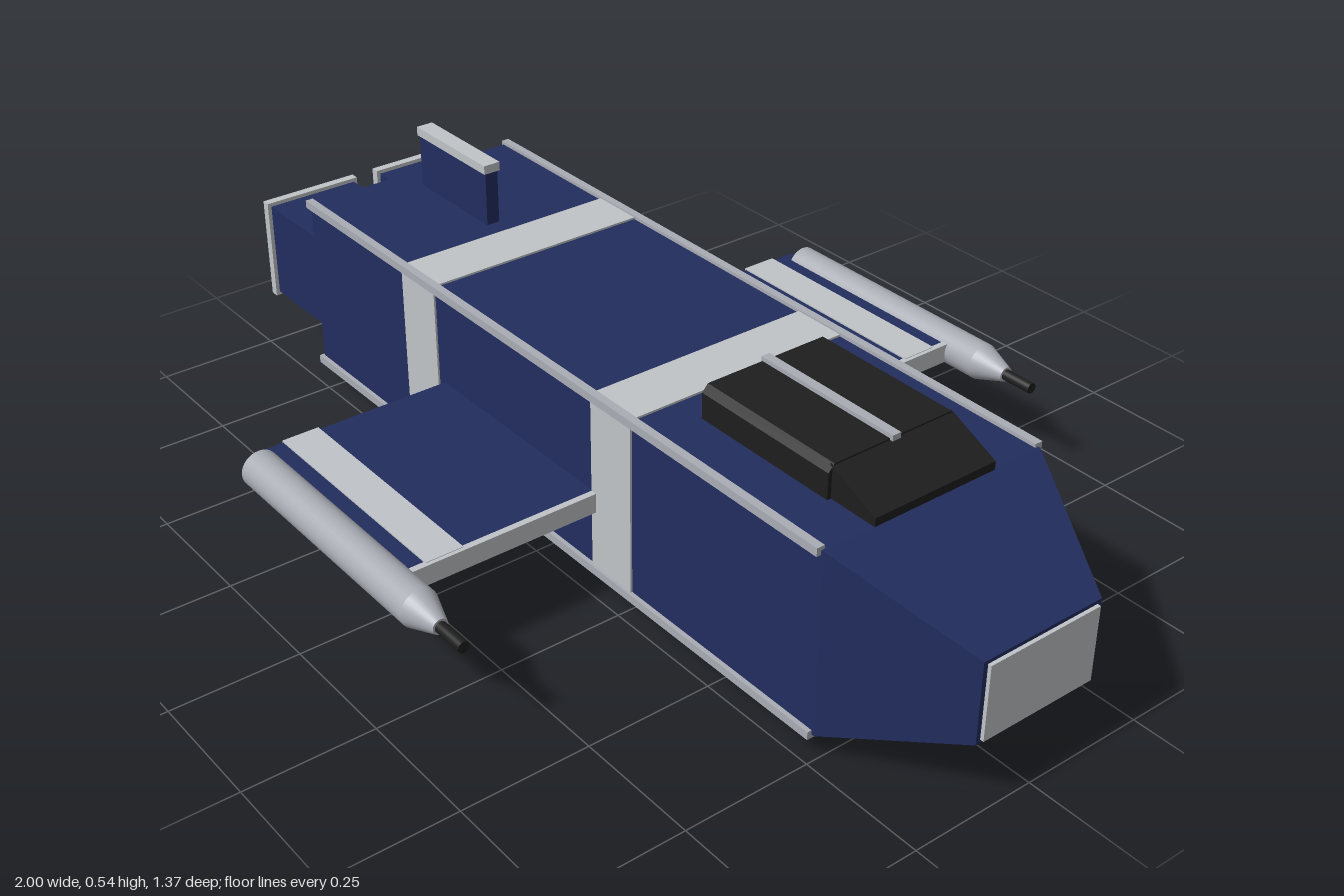
import * as THREE from 'three';

const mat = (name, color) => {
  const m = new THREE.MeshStandardMaterial({ color });
  m.name = name;
  return m;
};

export function createModel() {
  const navy = mat('navy hull', 0x222d5e);
  const silver = mat('silver trim', 0xc0c4c8);
  const grey = mat('grey metal', 0xa9acb4);
  const black = mat('black', 0x1e1e1e);
  const glow = mat('engine glow', 0x64a0b8);
  const ship = new THREE.Group();
  ship.name = 'spaceship';

  const add = (name, geo, material) => {
    const mesh = new THREE.Mesh(geo, material);
    mesh.name = name;
    ship.add(mesh);
    return mesh;
  };
  // Box given by its limits on each axis
  const box = (name, material, [x0, x1], [y0, y1], [z0, z1]) => {
    const g = new THREE.BoxGeometry(x1 - x0, y1 - y0, z1 - z0);
    g.translate((x0 + x1) / 2, (y0 + y1) / 2, (z0 + z1) / 2);
    return add(name, g, material);
  };
  // Box whose front (+x) end has its own height and half width
  const taper = (name, material, [x0, x1], back, front) => {
    const g = new THREE.BoxGeometry(1, 1, 1).toNonIndexed();
    const p = g.attributes.position;
    for (let i = 0; i < p.count; i++) {
      const end = p.getX(i) > 0 ? front : back;
      p.setXYZ(i, p.getX(i) > 0 ? x1 : x0,
        p.getY(i) > 0 ? end.y[1] : end.y[0], Math.sign(p.getZ(i)) * end.z);
    }
    g.computeVertexNormals();
    return add(name, g, material);
  };
  // Cylinder along x; r0 at x0, r1 at x1
  const rod = (name, material, [x0, x1], r0, r1, y, z) => {
    const g = new THREE.CylinderGeometry(r1, r0, x1 - x0, 32);
    g.rotateZ(-Math.PI / 2);
    g.translate((x0 + x1) / 2, y, z);
    return add(name, g, material);
  };

  // Hull and nose
  box('hull', navy, [-0.78, 0.75], [0.052, 0.412], [-0.238, 0.238]);
  taper('nose', navy, [0.75, 0.993], { y: [0.052, 0.412], z: 0.238 }, { y: [0.14, 0.3], z: 0.13 });
  box('nosePlate', silver, [0.992, 1], [0.147, 0.293], [-0.121, 0.121]);

  // Bands round the hull
  for (const x of [-0.435, 0.165])
    box('hullBand', silver, [x, x + 0.111], [0.048, 0.416], [-0.242, 0.242]);

  // Rails along the four long edges
  for (const s of [-1, 1])
    for (const y of [0.053, 0.411]) {
      const z = s * 0.239;
      box('edgeRail', grey, [-0.785, 0.745], [y - 0.008, y + 0.008], [z - 0.008, z + 0.008]);
    }

  for (const s of [-1, 1]) {
    const span = (a, b) => (s > 0 ? [a, b] : [-b, -a]);
    // Wing with trim and leading edge
    box('wing', navy, [-0.307, 0.167], [0.18, 0.215], span(0.23, 0.637));
    box('wingStripe', silver, [-0.31, 0.17], [0.177, 0.218], span(0.513, 0.588));
    box('wingLeadingEdge', silver, [0.165, 0.178], [0.178, 0.217], span(0.23, 0.625));
    // Wingtip gun pod
    rod('gunPod', grey, [-0.283, 0.245], 0.037, 0.037, 0.197, s * 0.65);
    rod('gunPodCone', grey, [0.245, 0.308], 0.037, 0.015, 0.197, s * 0.65);
    rod('gunBarrel', black, [0.3, 0.375], 0.011, 0.011, 0.197, s * 0.65);
    // Engine
    box('engine', navy, [-0.968, -0.77], [0.132, 0.332], span(0.033, 0.233));
    box('enginePlate', silver, [-0.984, -0.966], [0.124, 0.34], span(0.025, 0.241));
    rod('nozzleRing', black, [-0.994, -0.98], 0.086, 0.086, 0.232, s * 0.133);
    rod('nozzleGlow', glow, [-1, -0.985], 0.072, 0.072, 0.232, s * 0.133);
  }

  // Tail fin
  box('tailFin', navy, [-0.715, -0.48], [0.41, 0.525], [-0.014, 0.014]);
  box('tailFinCap', silver, [-0.718, -0.477], [0.523, 0.541], [-0.018, 0.018]);

  // Canopy with chamfered top edges, sloping windscreen and spine
  const section = new THREE.Shape([
    [-0.14, 0.41], [0.14, 0.41], [0.14, 0.462], [0.128, 0.476], [-0.128, 0.476], [-0.14, 0.462],
  ].map(([z, y]) => new THREE.Vector2(z, y)));
  const canopy = new THREE.ExtrudeGeometry(section, { depth: 0.31, bevelEnabled: false });
  canopy.rotateY(Math.PI / 2).translate(0.34, 0, 0);
  add('canopy', canopy, black);
  taper('windscreen', black, [0.645, 0.75], { y: [0.41, 0.475], z: 0.132 }, { y: [0.41, 0.428], z: 0.132 });
  box('canopySpine', grey, [0.337, 0.656], [0.473, 0.484], [-0.009, 0.009]);

  // Landing skids
  for (const x of [-0.515, 0.45]) {
    box('landingSkid', grey, [x - 0.03, x + 0.03], [0, 0.015], [-0.18, 0.18]);
    for (const z of [-0.157, 0.157])
      box('landingStrut', grey, [x - 0.015, x + 0.015], [0.014, 0.055], [z - 0.018, z + 0.018]);
  }
  return ship;
}
